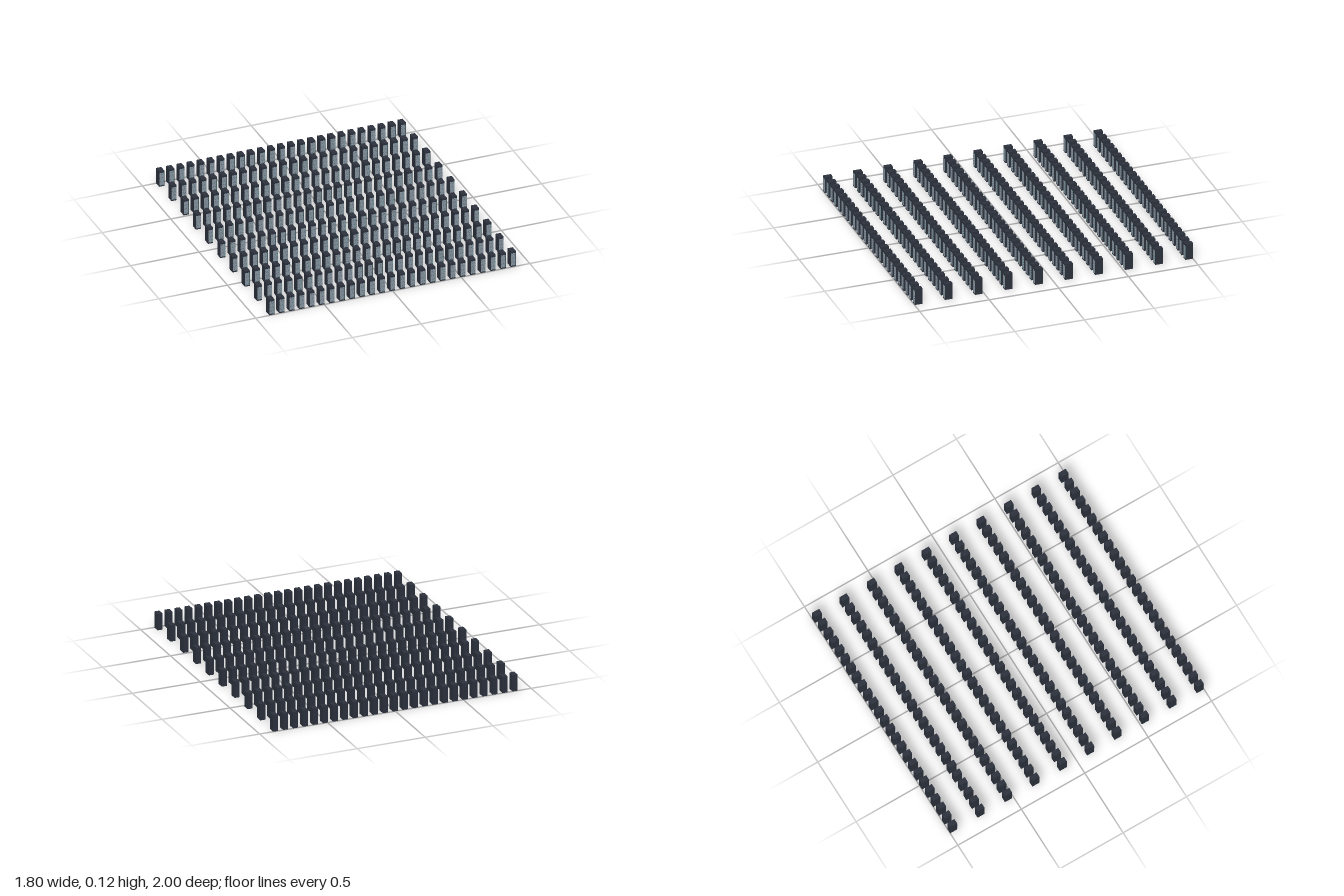
import * as THREE from 'three';
import { mergeGeometries } from 'three/addons/utils/BufferGeometryUtils.js';

const ROWS = 10, COLUMNS = 25, UNITS = 10;
const W = 0.037, H = 0.118, D = 0.055, PROUD = 0.002;

const box = (w, h, d, x, y, z) => new THREE.BoxGeometry(w, h, d).translate(x, y, z);

export function createModel() {
  const model = new THREE.Group();
  model.name = 'serverHall';

  const mat = (name, color) => {
    const m = new THREE.MeshStandardMaterial({ color });
    m.name = name;
    return m;
  };
  const cabinetMat = mat('dark slate cabinet', 0x2c323e);
  const panelMat = mat('grey blue panel', 0x8695a1);
  const lightMat = mat('teal indicator', 0x35b8a0);

  // Cabinet body, with the stacked units standing just proud of its front
  const cabinetGeo = box(W, H, D, 0, H / 2, -PROUD / 2);
  const front = D / 2 - PROUD / 2;
  const bottom = 0.009, pitch = (0.104 - bottom) / UNITS;
  const panels = [], lights = [];
  for (let i = 0; i < UNITS; i++) {
    const y = bottom + pitch * (i + 0.5);
    panels.push(box(W * 0.9, pitch * 0.84, PROUD, 0, y, front + PROUD / 2));
    lights.push(new THREE.PlaneGeometry(0.002, 0.002)
      .translate(W * 0.36, y, front + PROUD + 0.0002));
  }
  const panelGeo = mergeGeometries(panels);
  const lightGeo = mergeGeometries(lights);

  // Rows of identical cabinets, all facing the front
  const xEdge = 0.9 - W / 2, zEdge = 1 - (D + PROUD) / 2;
  for (let r = 0; r < ROWS; r++) {
    const row = new THREE.Group();
    row.name = `cabinetRow${r + 1}`;
    row.position.z = THREE.MathUtils.lerp(-zEdge, zEdge, r / (ROWS - 1));
    for (let c = 0; c < COLUMNS; c++) {
      const rack = new THREE.Group();
      rack.name = `serverRack${c + 1}`;
      rack.position.x = THREE.MathUtils.lerp(-xEdge, xEdge, c / (COLUMNS - 1));
      for (const [name, geo, material] of [
        ['cabinet', cabinetGeo, cabinetMat],
        ['serverUnits', panelGeo, panelMat],
        ['indicatorLights', lightGeo, lightMat],
      ]) {
        const mesh = new THREE.Mesh(geo, material);
        mesh.name = name;
        rack.add(mesh);
      }
      row.add(rack);
    }
    model.add(row);
  }
  return model;
}
